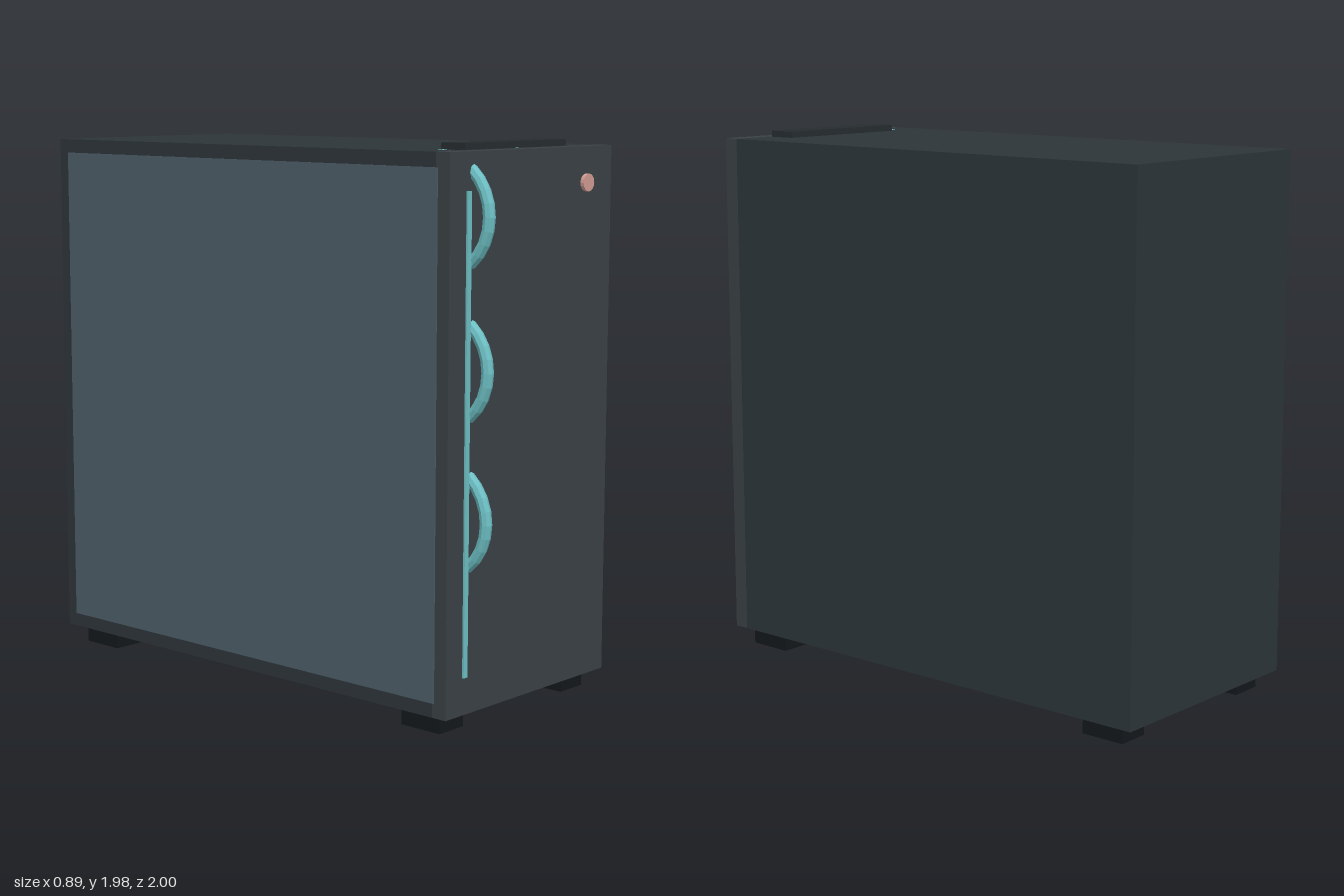
import * as THREE from 'three';

export function createModel() {
  const root = new THREE.Group();
  root.name = 'computerCase';

  const mat = (color) => new THREE.MeshStandardMaterial({ color, flatShading: true });
  const shell = mat(0x2d3539), frontMat = mat(0x3a4144), glass = mat(0x4d5d68);
  const dark = mat(0x14181b), trim = mat(0x262c2f), teal = mat(0x6dbfc4), pink = mat(0xd09a92);

  function add(name, geometry, material, x, y, z) {
    const mesh = new THREE.Mesh(geometry, material);
    mesh.name = name;
    mesh.position.set(x, y, z);
    root.add(mesh);
    return mesh;
  }

  // Box given by its min and max corners
  function box(name, material, [x0, y0, z0], [x1, y1, z1]) {
    const geometry = new THREE.BoxGeometry(x1 - x0, y1 - y0, z1 - z0);
    return add(name, geometry, material, (x0 + x1) / 2, (y0 + y1) / 2, (z0 + z1) / 2);
  }

  // Shell, front panel and glass side window
  const W = 0.444, bottom = 0.067, top = 1.955;
  box('body', shell, [-W, bottom, -1], [W, top, 0.852]);
  box('frontPanel', frontMat, [-W, bottom, 0.852], [W, top, 0.91]);
  box('sideWindow', glass, [-W - 0.003, bottom + 0.05, -0.955], [-W + 0.01, top - 0.05, 0.86]);

  // Raised strip on the top
  box('topStrip', trim, [-0.276, top - 0.01, 0.733], [0.276, 1.978, 0.836]);

  // Light strip and power button on the front
  box('lightStrip', teal, [-0.358, 0.197, 0.9], [-0.338, 1.827, 0.917]);
  const button = add('powerButton', new THREE.CylinderGeometry(0.031, 0.031, 0.04, 16), pink, 0.295, 1.83, 0.904);
  button.rotation.x = Math.PI / 2;

  // Fan rings: one column breaking through the front, one just behind the panel
  const ring = new THREE.TorusGeometry(0.195, 0.021, 8, 28);
  for (const y of [1.742, 1.232, 0.725]) {
    add('fanRing', ring, teal, -0.32, y, 0.78).rotation.y = Math.PI / 2;
    add('innerFanRing', ring, teal, 0, y, 0.832);
  }

  // Feet
  for (const side of [-1, 1]) {
    for (const z of [0.767, -0.852]) {
      add('foot', new THREE.BoxGeometry(0.124, bottom, 0.169), dark, side * 0.341, bottom / 2, z);
    }
  }
  return root;
}
